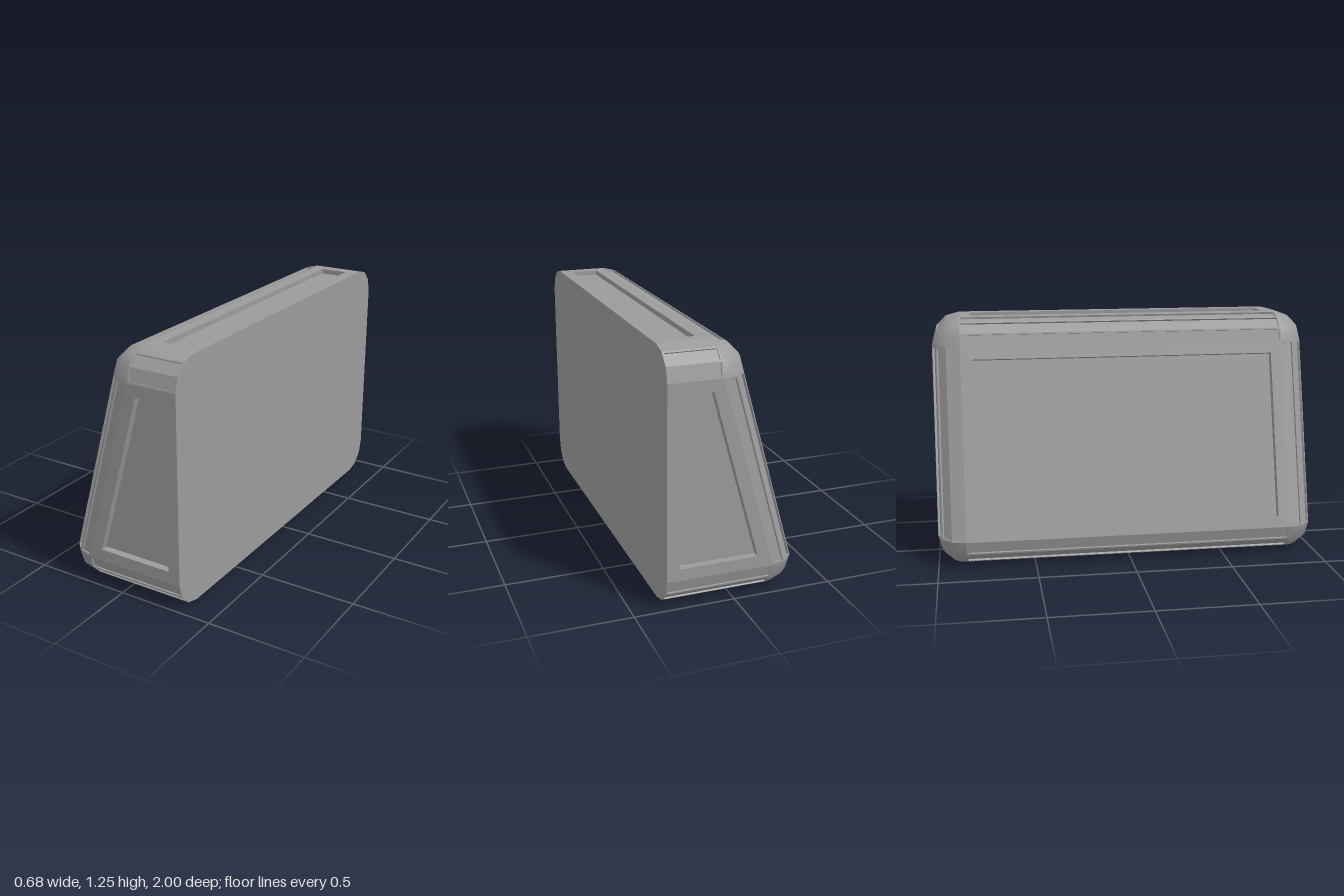
import * as THREE from 'three';
import { toCreasedNormals } from 'three/addons/utils/BufferGeometryUtils.js';

const R = 0.145, STEPS = 3, BACK = 0.34;
const CENTRE = new THREE.Vector3(0.05, 0.6, 0);

// Point on a rounded corner: v = top/bottom, s = z side, i = latitude step, j = longitude step
function corner(v, s, i, j) {
  const lat = (i / STEPS) * Math.PI / 2, lon = (j / STEPS) * Math.PI / 2;
  return new THREE.Vector3(
    (v > 0 ? 0.075 : -0.195) - R * Math.cos(lat) * Math.sin(lon),
    (v > 0 ? 1.105 : R) + v * R * Math.sin(lat),
    s * (0.855 + R * Math.cos(lat) * Math.cos(lon)));
}

// The same corner arc carried across to the flat back
function backPoint(v, s, i) {
  return corner(v, s, i, 0).setX(BACK);
}

function addTriangle(out, a, b, c) {
  const area = b.clone().sub(a).cross(c.clone().sub(a)).length();
  if (area > 1e-8) for (const p of [a, b, c]) out.push(p.x, p.y, p.z);
}

function addFlat(out, [a, b, c, d]) {
  addTriangle(out, a, b, c);
  addTriangle(out, a, c, d);
}

function quadNormal([a, b, c, d]) {
  return c.clone().sub(a).cross(d.clone().sub(b)).normalize();
}

// Turn a quad so that it faces away from the middle of the body
function outward(q) {
  return quadNormal(q).dot(q[0].clone().add(q[2]).multiplyScalar(0.5).sub(CENTRE)) < 0
    ? [...q].reverse() : q;
}

function addQuad(out, q) {
  addFlat(out, outward(q));
}

// Quad with a border, side walls and a sunken floor
function addRecess(out, quad, margin, depth) {
  const q = outward(quad), n = quadNormal(q);
  const rim = q.map((p, k) => {
    const e = q[(k + 1) % 4].clone().sub(p).normalize();
    const f = q[(k + 3) % 4].clone().sub(p).normalize();
    const scale = margin / e.clone().cross(f).length();
    return p.clone().addScaledVector(e.add(f), scale);
  });
  const floor = rim.map((p) => p.clone().addScaledVector(n, -depth));
  for (let k = 0; k < 4; k++) {
    const m = (k + 1) % 4;
    addFlat(out, [q[k], q[m], rim[m], rim[k]]);
    addFlat(out, [rim[k], rim[m], floor[m], floor[k]]);
  }
  addFlat(out, floor);
}

export function createModel() {
  const group = new THREE.Group();
  const shell = [], panels = [], strips = [];
  const strip = (q, depth) => addRecess(strips, q, 0.008, depth);
  const panel = (q, depth) => addRecess(panels, q, 0.06, depth);

  for (const s of [-1, 1]) {
    // Bevels along the sloping edges
    for (let j = 0; j < STEPS; j++) {
      strip([corner(-1, s, 0, j), corner(-1, s, 0, j + 1), corner(1, s, 0, j + 1), corner(1, s, 0, j)], 0.011);
    }
    // End panels
    panel([corner(-1, s, 0, 0), backPoint(-1, s, 0), backPoint(1, s, 0), corner(1, s, 0, 0)], 0.037);

    for (const v of [-1, 1]) {
      for (let i = 0; i < STEPS; i++) {
        // Bevels between the ends and the top or base; the last step stays plain
        const q = [corner(v, s, i, 0), corner(v, s, i + 1, 0), backPoint(v, s, i + 1), backPoint(v, s, i)];
        if (i < 2) strip(q, 0.008); else addQuad(shell, q);
        // Rounded corners
        for (let j = 0; j < STEPS; j++) {
          addQuad(shell, [corner(v, s, i, j), corner(v, s, i, j + 1),
            corner(v, s, i + 1, j + 1), corner(v, s, i + 1, j)]);
        }
      }
    }
  }

  // Long bevels above and below the sloping face
  for (const v of [-1, 1]) {
    for (let i = 0; i < STEPS; i++) {
      const q = [corner(v, -1, i, 3), corner(v, 1, i, 3), corner(v, 1, i + 1, 3), corner(v, -1, i + 1, 3)];
      if (v > 0 || i < 2) strip(q, 0.01); else addQuad(shell, q);
    }
  }

  // Sloping face, top and plain base
  panel([corner(-1, -1, 0, 3), corner(-1, 1, 0, 3), corner(1, 1, 0, 3), corner(1, -1, 0, 3)], 0.04);
  const level = (v) => [corner(v, -1, 3, 0), corner(v, 1, 3, 0), backPoint(v, 1, 3), backPoint(v, -1, 3)];
  panel(level(1), 0.025);
  addQuad(shell, level(-1));

  // Flat back, built from bands between matching heights
  for (const v of [-1, 1]) {
    for (let i = 0; i < STEPS; i++) {
      addQuad(shell, [backPoint(v, -1, i), backPoint(v, 1, i), backPoint(v, 1, i + 1), backPoint(v, -1, i + 1)]);
    }
  }
  addQuad(shell, [backPoint(-1, -1, 0), backPoint(-1, 1, 0), backPoint(1, 1, 0), backPoint(1, -1, 0)]);

  const material = new THREE.MeshStandardMaterial({ color: 0x9b9b9b });
  const addMesh = (name, positions, crease) => {
    const geometry = new THREE.BufferGeometry();
    geometry.setAttribute('position', new THREE.Float32BufferAttribute(positions, 3));
    const mesh = new THREE.Mesh(toCreasedNormals(geometry, crease), material);
    mesh.name = name;
    group.add(mesh);
  };
  addMesh('roundedShell', shell, 1);
  addMesh('recessedPanels', panels, 0.2);
  addMesh('bevelStrips', strips, 0.2);
  return group;
}
